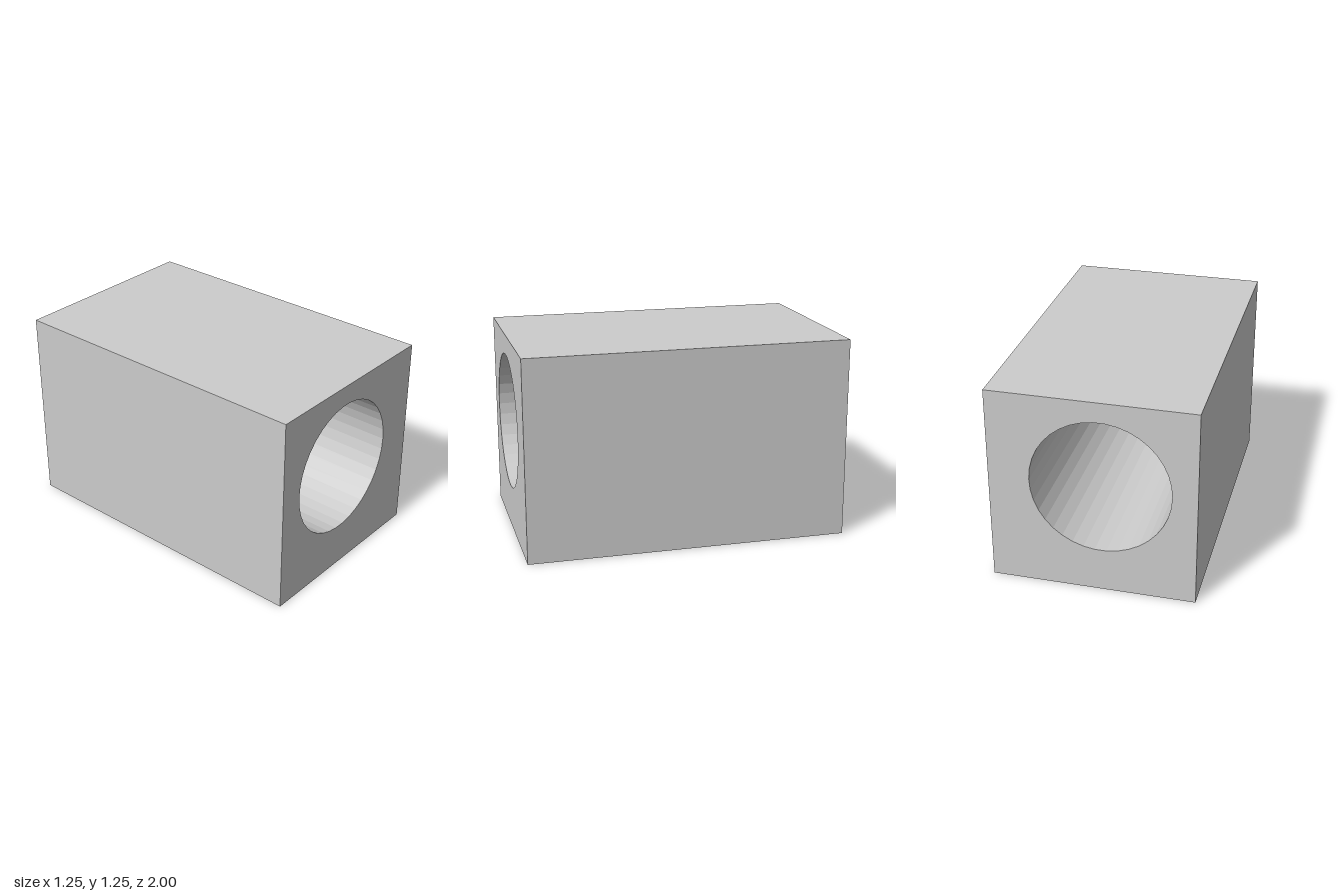
import * as THREE from 'three';

export function createModel() {
  const group = new THREE.Group();
  const width = 1.25, height = 1.25, depth = 2;

  // Square section with an off-centre round bore
  const section = new THREE.Shape([
    new THREE.Vector2(-width / 2, 0),
    new THREE.Vector2(width / 2, 0),
    new THREE.Vector2(width / 2, height),
    new THREE.Vector2(-width / 2, height),
  ]);
  const bore = new THREE.Path();
  bore.absarc(-0.05, 0.7, 0.425, 0, Math.PI * 2, true);
  section.holes.push(bore);

  // Arcs get two divisions per curve segment, so the bore has 38 sides
  const geometry = new THREE.ExtrudeGeometry(section, {
    depth, bevelEnabled: false, curveSegments: 19,
  });
  geometry.translate(0, 0, -depth / 2);

  const block = new THREE.Mesh(
    geometry,
    new THREE.MeshStandardMaterial({ color: 0xcccccc, flatShading: true }),
  );
  block.name = 'boredBlock';
  group.add(block);
  return group;
}
